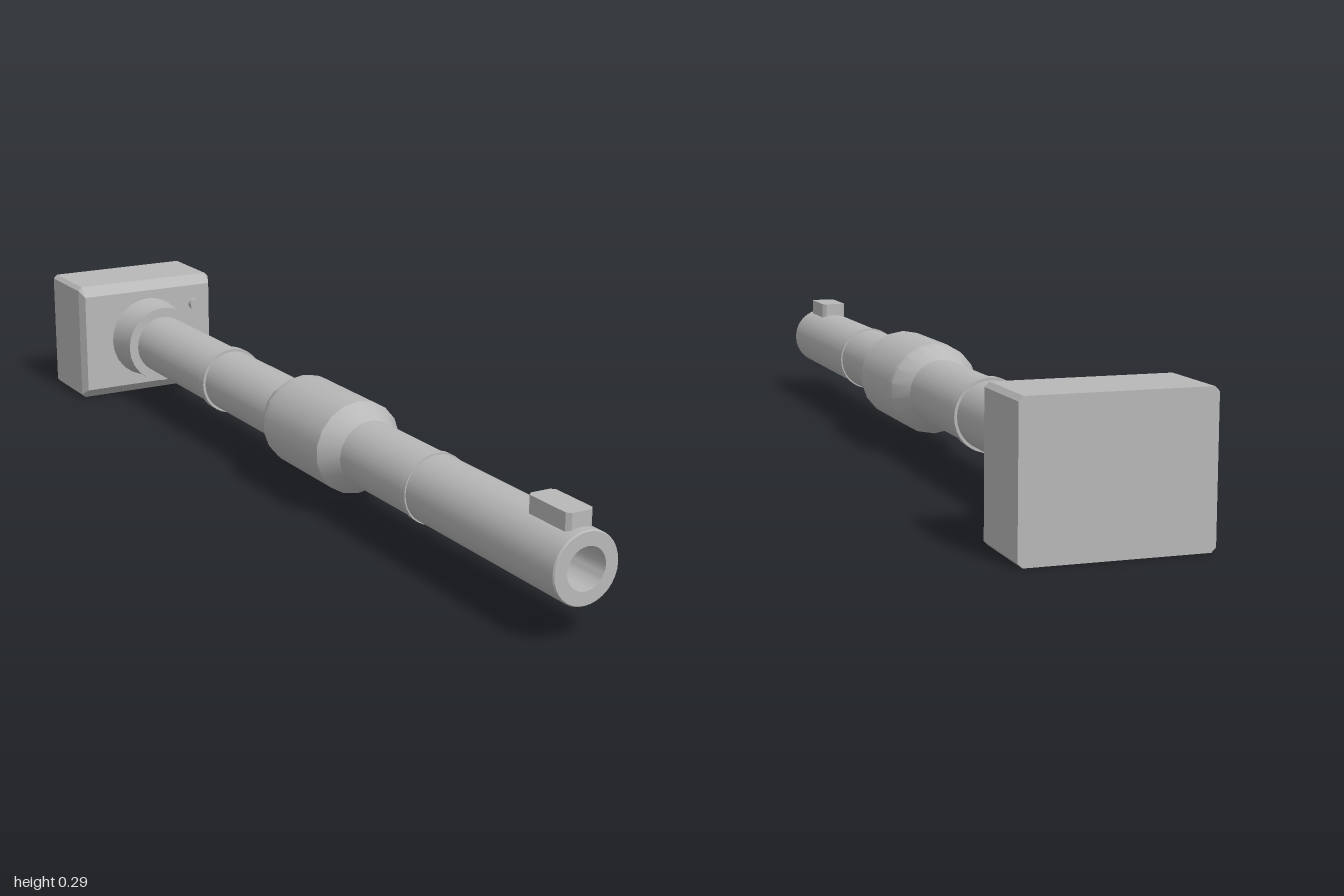
import * as THREE from 'three';
import { toCreasedNormals } from 'three/addons/utils/BufferGeometryUtils.js';
import { ConvexGeometry } from 'three/addons/geometries/ConvexGeometry.js';

const AXIS_Y = 0.144;

export function createModel() {
  const model = new THREE.Group();
  const grey = new THREE.MeshStandardMaterial({ color: 0xb8b8b8 });
  grey.name = 'plain grey';

  function add(name, geometry) {
    const mesh = new THREE.Mesh(geometry, grey);
    mesh.name = name;
    model.add(mesh);
    return mesh;
  }

  // Turned part along z; profile is [radius, z] pairs running back to front
  function turned(name, profile, sides) {
    const points = profile.map(([r, z]) => new THREE.Vector2(r, z));
    const geometry = new THREE.LatheGeometry(points, sides);
    geometry.rotateX(Math.PI / 2);
    geometry.translate(0, AXIS_Y, 0);
    return add(name, toCreasedNormals(geometry, 0.45));
  }

  // Barrel tube with a hollow bore
  turned('barrel', [
    [0.071, -0.82], [0.071, 0.997], [0.069, 1], [0.042, 1], [0.042, 0.75], [0, 0.75],
  ], 32);

  // Thick sleeve with tapered ends
  turned('sleeve', [
    [0.071, -0.05], [0.099, 0], [0.101, 0.02], [0.101, 0.235], [0.071, 0.282],
  ], 18);

  // Raised bands around the barrel
  for (const [name, z, r, half] of [['rearBand', -0.352, 0.077, 0.012], ['frontBand', 0.522, 0.074, 0.008]]) {
    turned(name, [[0.069, z - half], [r, z - half], [r, z + half], [0.069, z + half]], 32);
  }

  // Flared collar where the barrel meets the block
  turned('collar', [
    [0.101, -0.815], [0.099, -0.8], [0.094, -0.765], [0.094, -0.722], [0.069, -0.722],
  ], 24);

  // Mounting block: cut long edges and a bevelled front
  const corners = [];
  for (const sx of [-1, 1]) {
    for (const sy of [-1, 1]) {
      const at = (x, y, z) => corners.push(new THREE.Vector3(sx * x, AXIS_Y + sy * y, z));
      for (const z of [-1, -0.834]) {
        at(0.181, 0.135, z);
        at(0.172, 0.144, z);
      }
      at(0.172, 0.121, -0.812);
    }
  }
  add('mountingBlock', new ConvexGeometry(corners));

  // Small stub beside the collar
  const stub = new THREE.CylinderGeometry(0.014, 0.014, 0.03, 16);
  stub.rotateX(Math.PI / 2);
  add('stub', stub).position.set(0.128, 0.216, -0.813);

  // Key-shaped plate on top of the muzzle, with cut corners
  const w = 0.029, l = 0.06, c = 0.008;
  const outline = new THREE.Shape([
    [-w + c, -l], [w - c, -l], [w, -l + c], [w, l - c],
    [w - c, l], [-w + c, l], [-w, l - c], [-w, -l + c],
  ].map(([x, y]) => new THREE.Vector2(x, y)));
  const plate = new THREE.ExtrudeGeometry(outline, { depth: 0.045, bevelEnabled: false });
  plate.rotateX(-Math.PI / 2);
  add('muzzlePlate', plate).position.set(0, 0.199, 0.92);

  return model;
}
